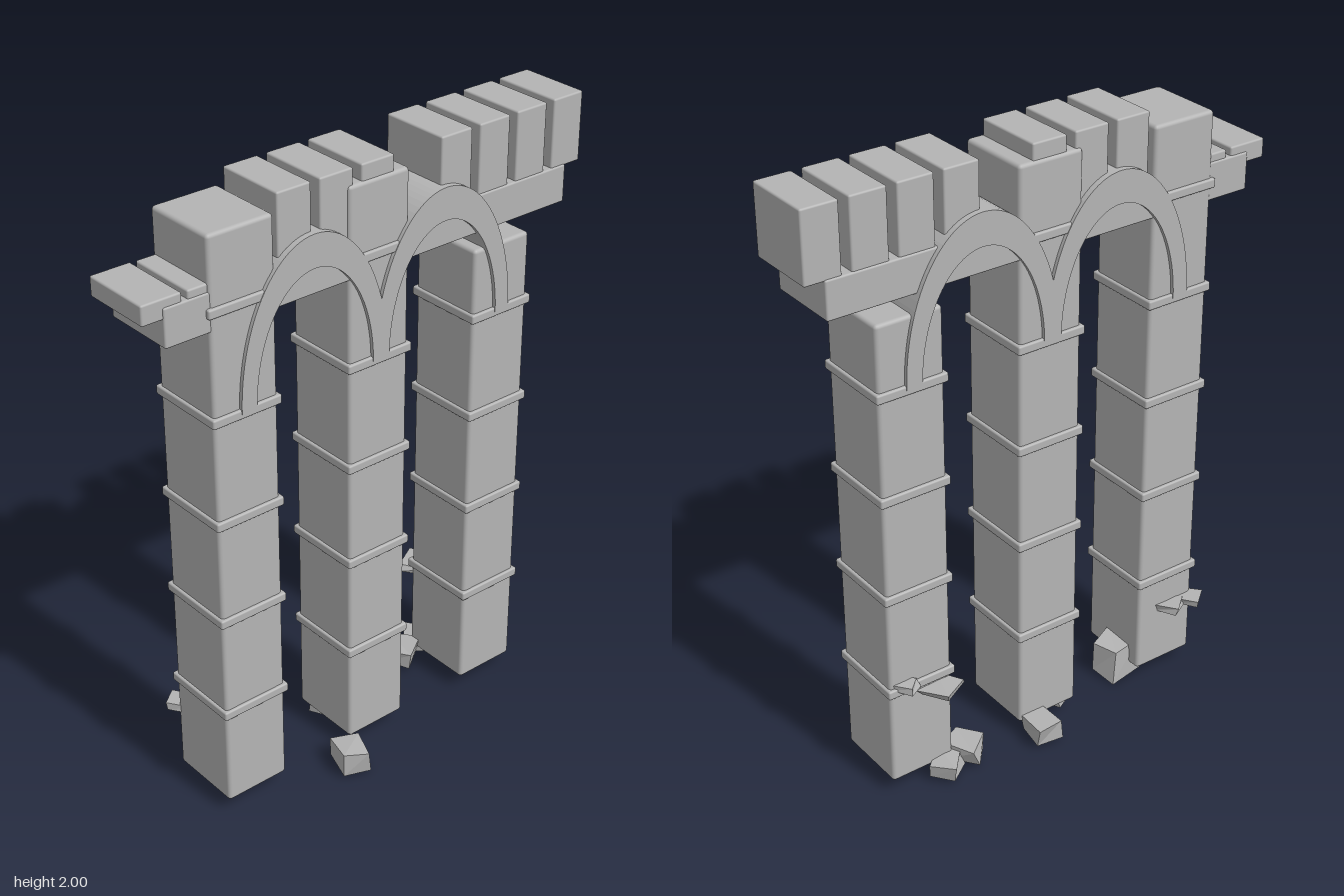
import * as THREE from 'three';
import { RoundedBoxGeometry } from 'three/addons/geometries/RoundedBoxGeometry.js';

const stone = new THREE.MeshStandardMaterial({ color: 0xb4b4b4 });
stone.name = 'greyStone';
const Z = -0.012; // wall centre line

function add(group, name, geometry, x, y, z) {
  const mesh = new THREE.Mesh(geometry, stone);
  mesh.name = name;
  mesh.position.set(x, y, z);
  group.add(mesh);
  return mesh;
}

// Block with softened edges, given by its bottom and top heights
function block(group, name, x, width, bottom, top, depth, bevel = 0.006) {
  return add(group, name, new RoundedBoxGeometry(width, top - bottom, depth, 2, bevel), x, (bottom + top) / 2, Z);
}

// Half-elliptical arch, thicker at the crown than at the springing
function archGeometry(depth) {
  const shape = new THREE.Shape();
  shape.absellipse(0, 0, 0.263, 0.465, 0, Math.PI, false);
  shape.absellipse(0, 0, 0.21, 0.362, Math.PI, 0, true);
  shape.closePath();
  const geometry = new THREE.ExtrudeGeometry(shape, { depth, bevelEnabled: false, curveSegments: 24 });
  return geometry.translate(0, 0, -depth / 2);
}

// Seeded random numbers for the rubble
function seeded(seed) {
  return () => {
    seed = (seed * 16807) % 2147483647;
    return seed / 2147483647;
  };
}

// Broken stone: a box whose eight corners are pulled inward
function rubbleGeometry(w, h, d, random) {
  const box = new THREE.BoxGeometry(w, h, d);
  const pos = box.attributes.position;
  const pulls = Array.from({ length: 8 }, () => [0, 1, 2].map(() => 1 - 0.4 * random()));
  for (let i = 0; i < pos.count; i++) {
    const [x, y, z] = [pos.getX(i), pos.getY(i), pos.getZ(i)];
    const p = pulls[(x > 0 ? 1 : 0) + (y > 0 ? 2 : 0) + (z > 0 ? 4 : 0)];
    pos.setXYZ(i, x * p[0], y * p[1], z * p[2]);
  }
  const geometry = box.toNonIndexed();
  geometry.computeVertexNormals();
  return geometry;
}

export function createModel() {
  const model = new THREE.Group();
  model.name = 'ruinedAqueduct';

  // Pillars with raised bands
  const pillars = [['rightPillar', -0.48, 1.95], ['middlePillar', 0, 1.95], ['leftPillar', 0.48, 1.61]];
  for (const [name, x, top] of pillars) {
    const pillar = new THREE.Group();
    pillar.name = name;
    block(pillar, 'shaft', x, 0.22, 0.045, top, 0.252, 0.012);
    for (let i = 0; i < 5; i++) {
      const y = 0.38 + i * 0.336;
      if (y < top) block(pillar, 'band', x, 0.238, y - 0.015, y + 0.015, 0.272);
    }
    model.add(pillar);
  }

  // Arches spanning the pillars
  const arch = archGeometry(0.276);
  for (const x of [-0.24, 0.24]) add(model, 'arch', arch, x, 1.39, Z);

  // Channel beam
  block(model, 'beam', 0, 1.466, 1.665, 1.785, 0.246);

  // Parapet blocks, with one gap
  for (const i of [-2, -1, 0, 2, 3, 4, 5]) {
    block(model, 'parapetBlock', i * 0.1472, 0.117, 1.78, 2, 0.236);
  }

  // Worn parapet slabs at the broken end
  block(model, 'wornSlab', -0.735, 0.13, 1.75, 1.812, 0.236);
  block(model, 'wornSlab', -0.593, 0.118, 1.75, 1.81, 0.236);

  // Fallen stones: centre, size, turn
  const random = seeded(77);
  const stones = [
    [-0.34, 0.06, -0.05, 0.14, 0.13, 0.13, 0.3],
    [-0.16, 0.045, 0.18, 0.11, 0.09, 0.12, -0.4],
    [-0.07, 0.038, -0.08, 0.07, 0.055, 0.07, 0.5],
    [0.06, 0.04, -0.19, 0.12, 0.08, 0.12, -0.1],
    [0.315, 0.045, -0.13, 0.11, 0.075, 0.12, 0.6],
    [0.41, 0.038, -0.16, 0.11, 0.06, 0.1, 0.7],
  ];
  for (const [x, y, z, w, h, d, turn] of stones) {
    add(model, 'fallenStone', rubbleGeometry(w, h, d, random), x, y, z).rotation.y = turn;
  }

  // Thin stone chips on the back of the pillars
  const chips = [
    [-0.57, 0.26, -0.15, 0.09, 0.11],
    [-0.49, 0.26, -0.14, 0.09, 0.1],
    [0.42, 0.345, -0.155, 0.12, 0.12],
    [0.54, 0.395, -0.14, 0.07, 0.09],
  ];
  for (const [x, y, z, w, d] of chips) {
    add(model, 'stoneChip', rubbleGeometry(w, 0.028, d, random), x, y, z).rotation.y = 0.6;
  }

  return model;
}
